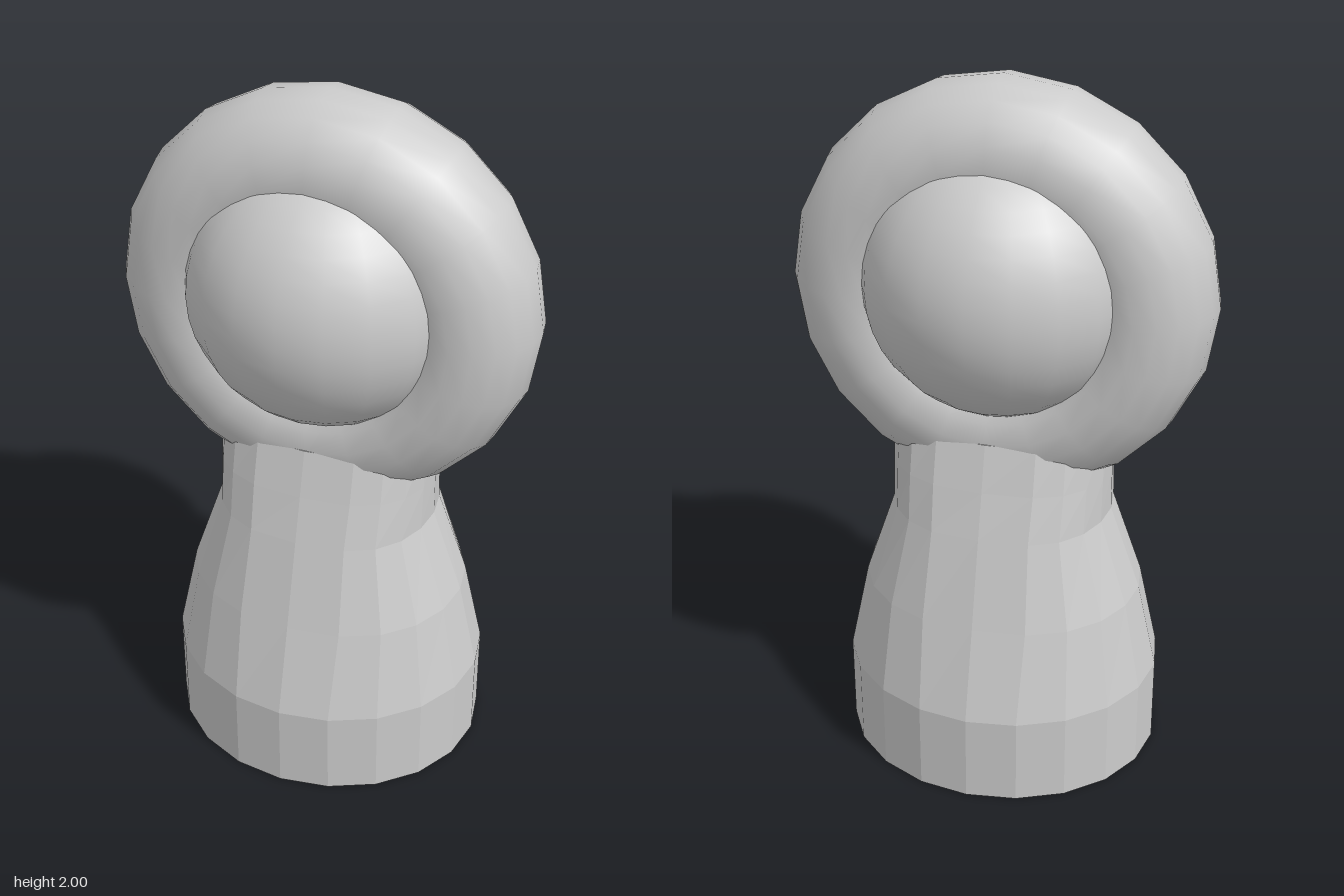
import * as THREE from 'three';

// Neck and base rings from the bottom up: [height, half width x, half depth z, squareness in x]
const RINGS = [
  [0, 0.457, 0.41, 1],
  [0.26, 0.457, 0.41, 1],
  [0.52, 0.4, 0.338, 0.85],
  [0.77, 0.312, 0.27, 0.7],
  [0.9, 0.312, 0.233, 0.68],
  [1.03, 0.31, 0.197, 0.68],
];

// A 20-sided cylinder whose rings are reshaped into flattened ovals
function pedestalGeometry() {
  const last = RINGS.length - 1;
  const geo = new THREE.CylinderGeometry(1, 1, 1, 20, last);
  const p = geo.attributes.position;
  for (let i = 0; i < p.count; i++) {
    const [y, w, d, e] = RINGS[Math.round((p.getY(i) + 0.5) * last)];
    const x = p.getX(i);
    p.setXYZ(i, Math.sign(x) * Math.abs(x) ** e * w, y, p.getZ(i) * d);
  }
  geo.computeVertexNormals();
  return geo;
}

export function createModel() {
  const model = new THREE.Group();
  model.name = 'ringStand';
  const smooth = new THREE.MeshStandardMaterial({ color: 0xcccccc });
  const faceted = new THREE.MeshStandardMaterial({ color: 0xcccccc, flatShading: true });

  const add = (name, geometry, material, y) => {
    const mesh = new THREE.Mesh(geometry, material);
    mesh.name = name;
    mesh.position.y = y;
    model.add(mesh);
  };

  // Flared foot and neck
  add('pedestal', pedestalGeometry(), faceted, 0);
  // Upright ring sunk into the top of the neck
  add('ring', new THREE.TorusGeometry(0.39, 0.195, 20, 20), smooth, 1.415);
  // Ball filling the ring
  add('ball', new THREE.SphereGeometry(0.39, 20, 20), smooth, 1.457);

  return model;
}
